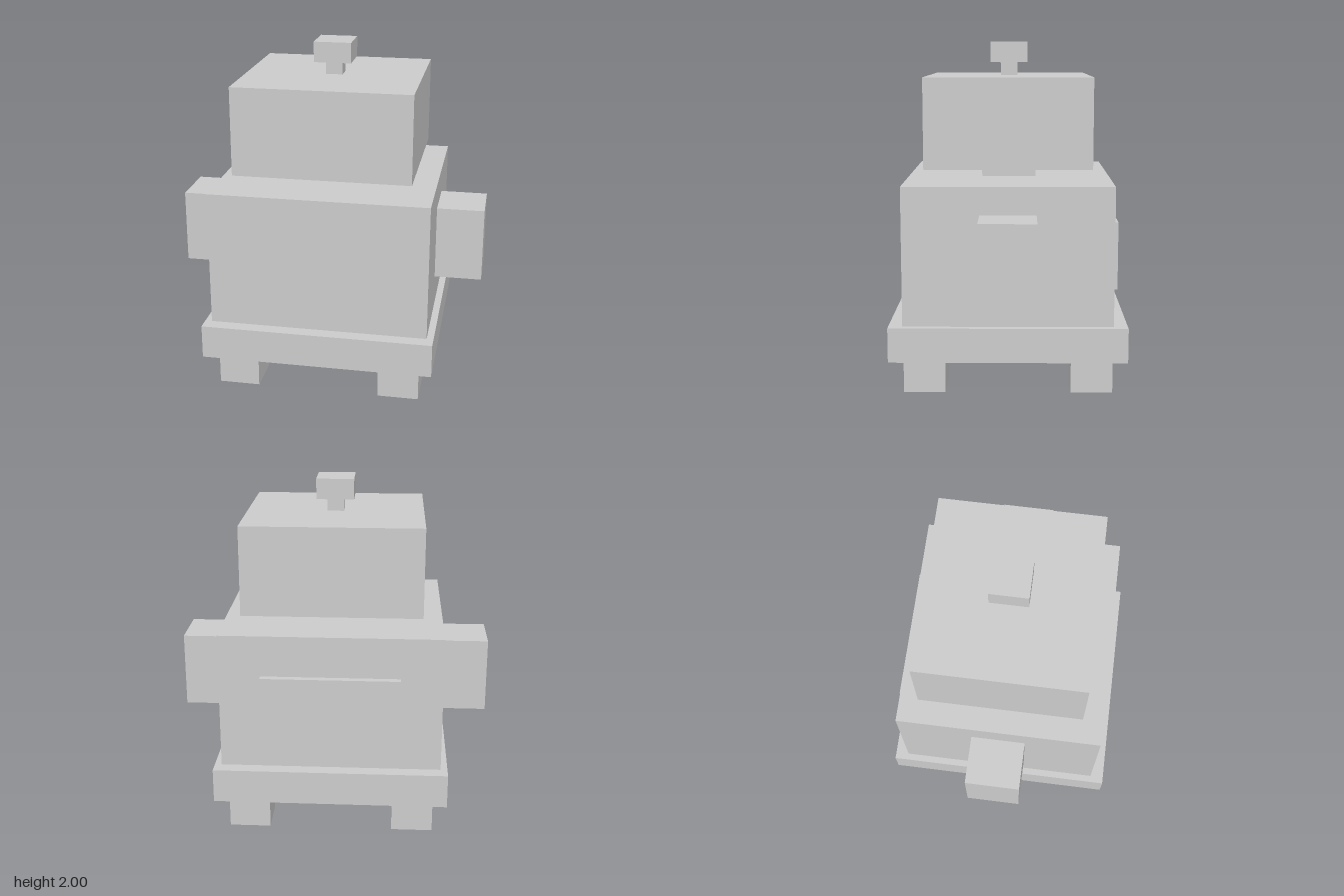
import * as THREE from 'three';

const material = new THREE.MeshStandardMaterial({ color: 0xcccccc, flatShading: true });

// Box given by its extents along each axis
function block(name, [x0, x1], [y0, y1], [z0, z1]) {
  const mesh = new THREE.Mesh(new THREE.BoxGeometry(x1 - x0, y1 - y0, z1 - z0), material);
  mesh.position.set((x0 + x1) / 2, (y0 + y1) / 2, (z0 + z1) / 2);
  mesh.name = name;
  return mesh;
}

// Box centred on the vertical axis
const centred = (name, hx, hz, y0, y1) => block(name, [-hx, hx], [y0, y1], [-hz, hz]);

export function createModel() {
  const robot = new THREE.Group();
  robot.name = 'robot';

  // Central stack, bottom to top
  robot.add(
    centred('base', 0.68, 0.68, 0.2, 0.4),
    centred('body', 0.64, 0.6, 0.4, 1.2),
    centred('neck', 0.16, 0.16, 1.2, 1.28),
    centred('head', 0.52, 0.48, 1.28, 1.8),
    centred('antennaStem', 0.05, 0.05, 1.8, 1.88),
    centred('antennaTip', 0.11, 0.11, 1.88, 2)
  );

  // Raised panel on the back
  robot.add(block('backPanel', [-0.4, 0.4], [0.56, 0.96], [-0.64, -0.6]));

  // Arms and feet, mirrored
  for (const [side, s] of [['left', 1], ['right', -1]]) {
    const arm = centred(side + 'Arm', 0.14, 0.16, 0.6, 1.04);
    arm.position.x = s * 0.78;
    robot.add(arm);
    for (const [end, t] of [['Front', 1], ['Back', -1]]) {
      const foot = centred(side + end + 'Foot', 0.12, 0.12, 0, 0.2);
      foot.position.x = s * 0.48;
      foot.position.z = t * 0.48;
      robot.add(foot);
    }
  }
  return robot;
}
